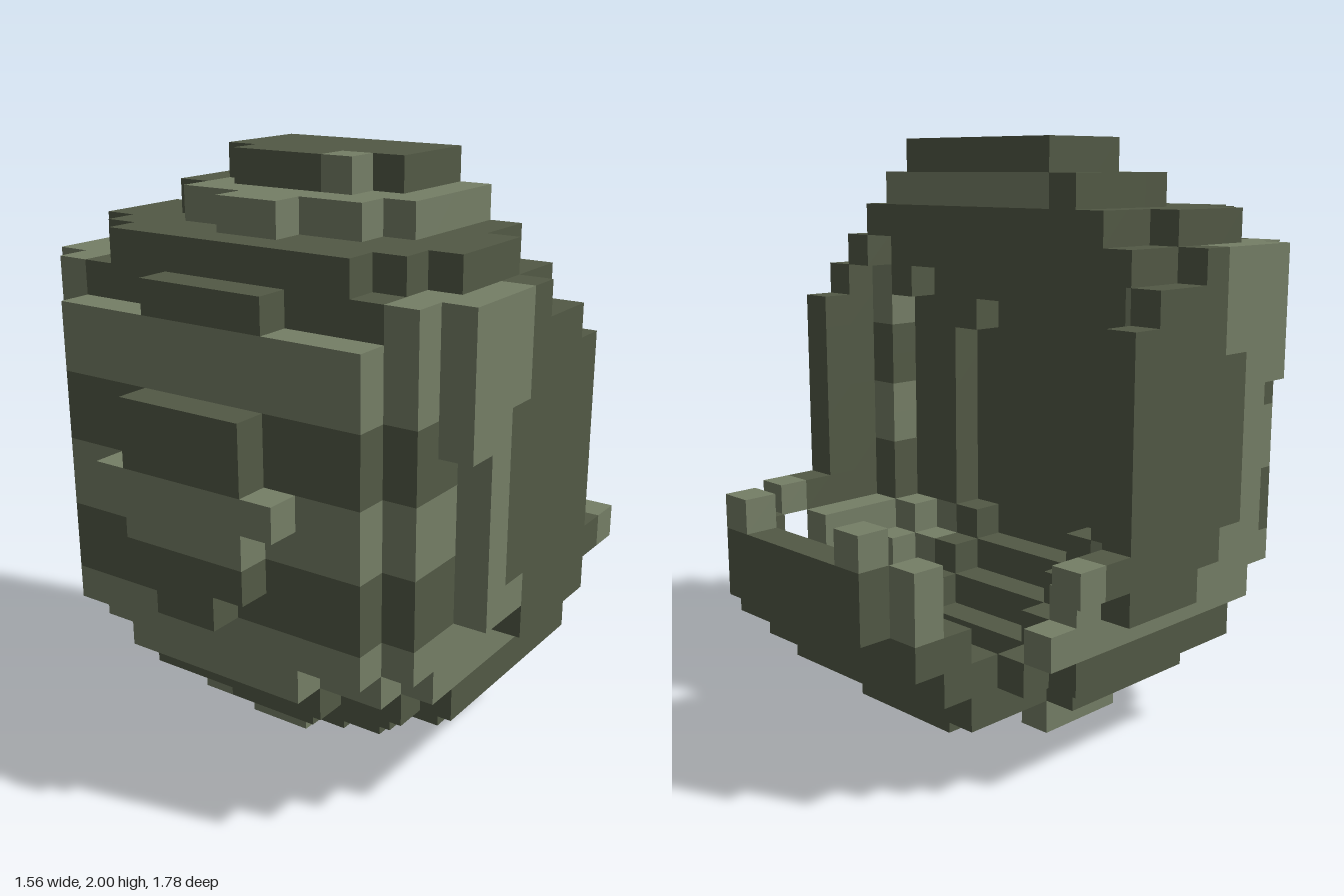
import * as THREE from 'three';
import { mergeGeometries } from 'three/addons/utils/BufferGeometryUtils.js';

const U = 1 / 9; // size of one cube

// Body outline per layer, bottom to top: [first z cell, half-width of each row going forward]
const LAYERS = [
  [1, '1'],
  [-2, '444331'],
  [-4, '445555542'],
  [-4, '5666666653'],
  [-4, '66666666653'],
  [-3, '6777766665'],
  [-2, '7777776651'],
  [-2, '7777776652'],
  [-2, '7777776652'],
  [-2, '7777776653'],
  [-2, '7777776652'],
  [-2, '7777777652'],
  [-2, '777777765'],
  [-1, '77777765'],
  [-1, '66777762'],
  [-1, '5566654'],
  [-1, '444431'],
  [-1, '3332'],
];

// Hollow in the back: half-width per layer, for each z cell from -4 to 1
const CAVITY = [
  '000455',
  '033455666666666',
  '033455666666666',
  '000245666666665',
  '000024555555540',
  '000002333333200',
];
const LIGHT_BANDS = [4, 5, 8, 9, 12, 13, 16];

const mirrorIndex = (x) => (x < 0 ? -x - 1 : x);

function filled(x, y, z) {
  const [start, rows] = LAYERS[y];
  const a = mirrorIndex(x);
  const hollow = CAVITY[z + 4] || '';
  return a < Number(rows[z - start] || 0) && a >= Number(hollow[y] || 0);
}

// Horizontal bands, with the side plates dark at the rear and light at the front
function isLight(x, y, z) {
  const a = mirrorIndex(x);
  if (y === 1) return z === 3 || z === -2 || x < -2;
  if (y === 2) return x === -2 && z === 4;
  if (a === 6) {
    if (y === 5) return x < 0 && z === 1;
    return z >= (y > 11 || y < 7 ? 2 : 3);
  }
  // dark lining of the hollow
  if (z <= 2 && y < 15 && a < (y < 6 ? 3 : 5)) return false;
  if (y === 14 && a === 5) return z >= 2;
  if (y === 16 && x === -4) return false;
  if (y === 17) return x === 1 && z === 2;
  return LIGHT_BANDS.includes(y);
}

function box(x0, x1, y, z) {
  const g = new THREE.BoxGeometry((x1 - x0) * U, U, U);
  return g.translate((x0 + x1) * U / 2, (y + 0.5) * U, (z + 0.5) * U);
}

export function createModel() {
  const model = new THREE.Group();
  const dark = new THREE.MeshStandardMaterial({ color: 0x525945 });
  const light = new THREE.MeshStandardMaterial({ color: 0x757e66 });
  dark.name = 'darkOlive';
  light.name = 'lightOlive';

  function addPart(name, darkBoxes, lightBoxes) {
    const part = new THREE.Group();
    part.name = name;
    for (const [list, mat, tag] of [[darkBoxes, dark, 'Dark'], [lightBoxes, light, 'Light']]) {
      if (!list.length) continue;
      const mesh = new THREE.Mesh(mergeGeometries(list), mat);
      mesh.name = name + tag;
      part.add(mesh);
    }
    model.add(part);
  }

  // Body sections, each row of cubes joined into long bars
  function addSection(name, yFrom, yTo, accept) {
    const lists = [[], []];
    for (let y = yFrom; y < yTo; y++) {
      for (let z = -8; z < 8; z++) {
        let start = -7, kind = -1;
        for (let x = -7; x <= 7; x++) {
          const here = x < 7 && accept(x) && filled(x, y, z);
          const next = here ? Number(isLight(x, y, z)) : -1;
          if (next === kind) continue;
          if (kind >= 0) lists[kind].push(box(start, x, y, z));
          start = x;
          kind = next;
        }
      }
    }
    addPart(name, ...lists);
  }
  const inner = (x) => mirrorIndex(x) < 6;
  addSection('lowerBowl', 0, 5, inner);
  addSection('bandedBody', 5, 15, inner);
  addSection('sidePlates', 5, 15, (x) => !inner(x));
  addSection('crown', 15, 18, inner);

  // Rear scoop curling up behind the floor gap
  const pair = (a, b, y, z) => [box(a, b, y, z), box(-b, -a, y, z)];
  addPart('rearScoop', [
    box(-2, 2, 1, -4),
    box(-4, 4, 2, -5),
    ...pair(1, 4, 3, -5),
    box(-4, 4, 3, -6),
    box(-4, 4, 4, -6),
    box(-4, 4, 4, -7),
    box(-3, 3, 5, -7),
    box(-3, 3, 5, -8),
    box(-3, 3, 6, -8),
    box(3, 4, 6, -7),
  ], [
    ...pair(3, 4, 5, -7),
    box(-4, -3, 6, -7),
    ...pair(2, 3, 7, -8),
  ]);

  // Small pegs at the lower rear corners of the side plates
  addPart('rearPegs', pair(6, 7, 6, -3), pair(6, 7, 6, -4));

  return model;
}
